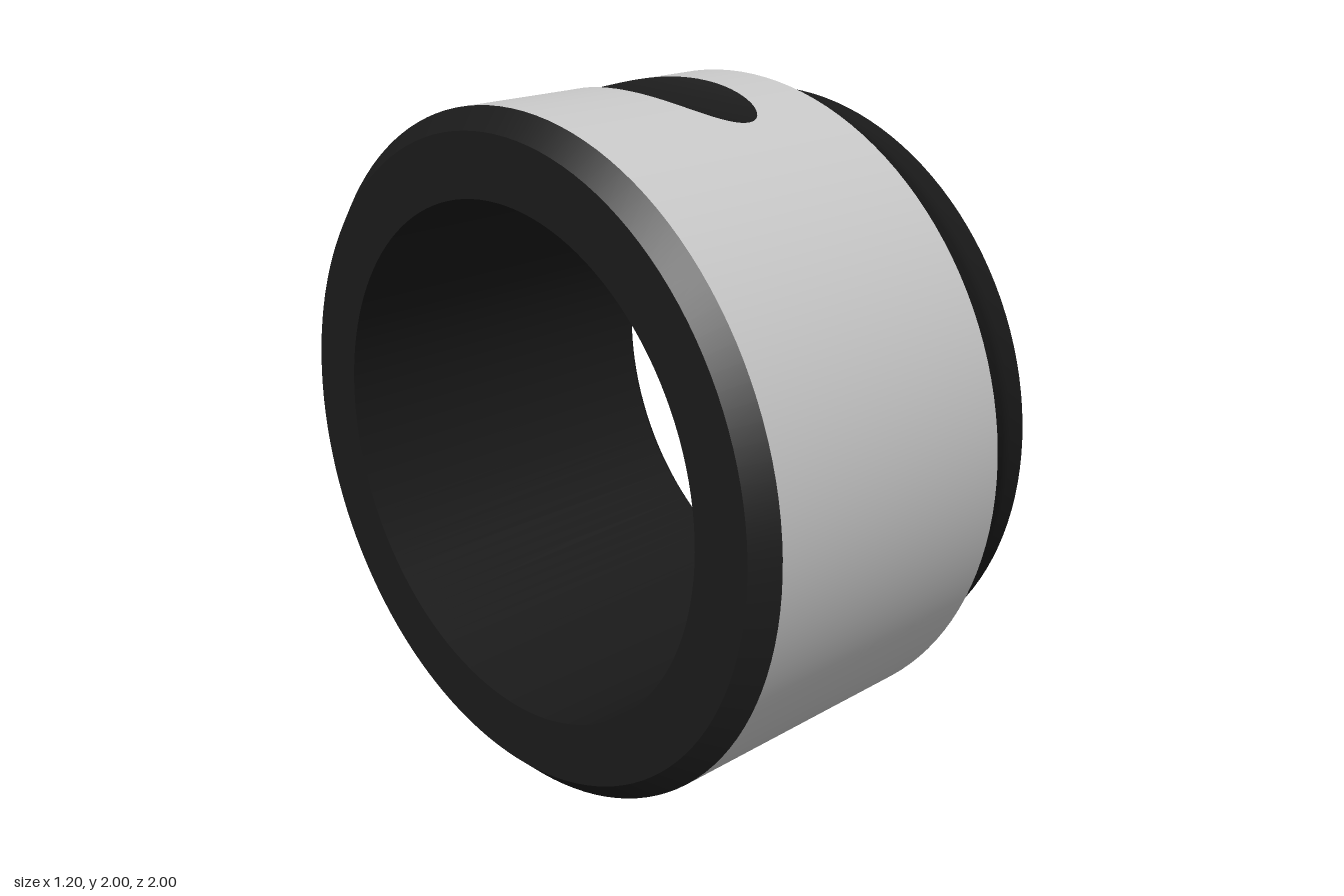
import * as THREE from 'three';
import { toCreasedNormals } from 'three/addons/utils/BufferGeometryUtils.js';

const START = -0.54, END = 0.32;          // ends of the bright outer band
const HALF = 0.14, R = 0.193;             // groove half width and radius
const CENTRE = 1 + Math.sqrt(R * R - HALF * HALF);

// groove floor height and half length at position x along the axis
const floorAt = x => Math.abs(x) >= HALF ? 1 : Math.min(1, CENTRE - Math.sqrt(R * R - x * x));
const halfLength = x => Math.sqrt(Math.max(0, 1 - floorAt(x) ** 2));

// bend a plane by a rule that gives each point and its normal
function surface(nu, nv, rule) {
  const geo = new THREE.PlaneGeometry(1, 1, nu, nv);
  const { position, normal, uv } = geo.attributes;
  for (let i = 0; i < position.count; i++) {
    const [p, n] = rule(uv.getX(i), uv.getY(i));
    const m = new THREE.Vector3(...n).normalize();
    position.setXYZ(i, ...p);
    normal.setXYZ(i, m.x, m.y, m.z);
  }
  return geo;
}

export function createModel() {
  const group = new THREE.Group();
  const bright = new THREE.MeshStandardMaterial({ color: 0xcccccc });
  const dark = new THREE.MeshStandardMaterial({ color: 0x1a1a1a });

  const add = (name, geo, mat) => {
    const mesh = new THREE.Mesh(geo, mat);
    mesh.name = name;
    mesh.position.y = 1;
    group.add(mesh);
    return mesh;
  };

  // stepped lip, bore and chamfered back rim as one turned profile
  const profile = [
    [1, END], [0.943, 0.42], [0.93, 0.45], [0.925, 0.48], [0.925, 0.54], [0.87, 0.6],
    [0.8, 0.6], [0.757, 0.56], [0.757, -0.6], [0.94, -0.6], [1, START],
  ].map(p => new THREE.Vector2(...p));
  const body = toCreasedNormals(new THREE.LatheGeometry(profile, 128), 0.45);
  body.rotateZ(-Math.PI / 2);
  add('ringBody', body, dark);

  // half of the outer band, its ends trimmed along the groove edges
  const columns = 34;
  const band = surface(columns, 64, (u, v) => {
    const i = Math.round(u * columns);
    const x = i === 0 ? START : i === columns ? END
      : -HALF * Math.cos(Math.PI * (i - 1) / (columns - 2));
    const trim = Math.asin(halfLength(x));
    const a = Math.PI - trim - v * (Math.PI - 2 * trim);
    const y = Math.cos(a), z = Math.sin(a);
    return [[x, y, z], [0, y, z]];
  });

  // straight round-bottomed groove across the band
  const groove = surface(32, 4, (u, v) => {
    const x = -HALF * Math.cos(Math.PI * u);
    const y = floorAt(x);
    return [[x, y, halfLength(x) * (1 - 2 * v)], [-x, CENTRE - y, 0]];
  });

  // two matching halves, turned about the axis
  for (const [i, side] of ['Front', 'Back'].entries()) {
    add('outerBand' + side, band, bright).rotation.x = i * Math.PI;
    add(i ? 'grooveBottom' : 'grooveTop', groove, dark).rotation.x = i * Math.PI;
  }
  return group;
}
